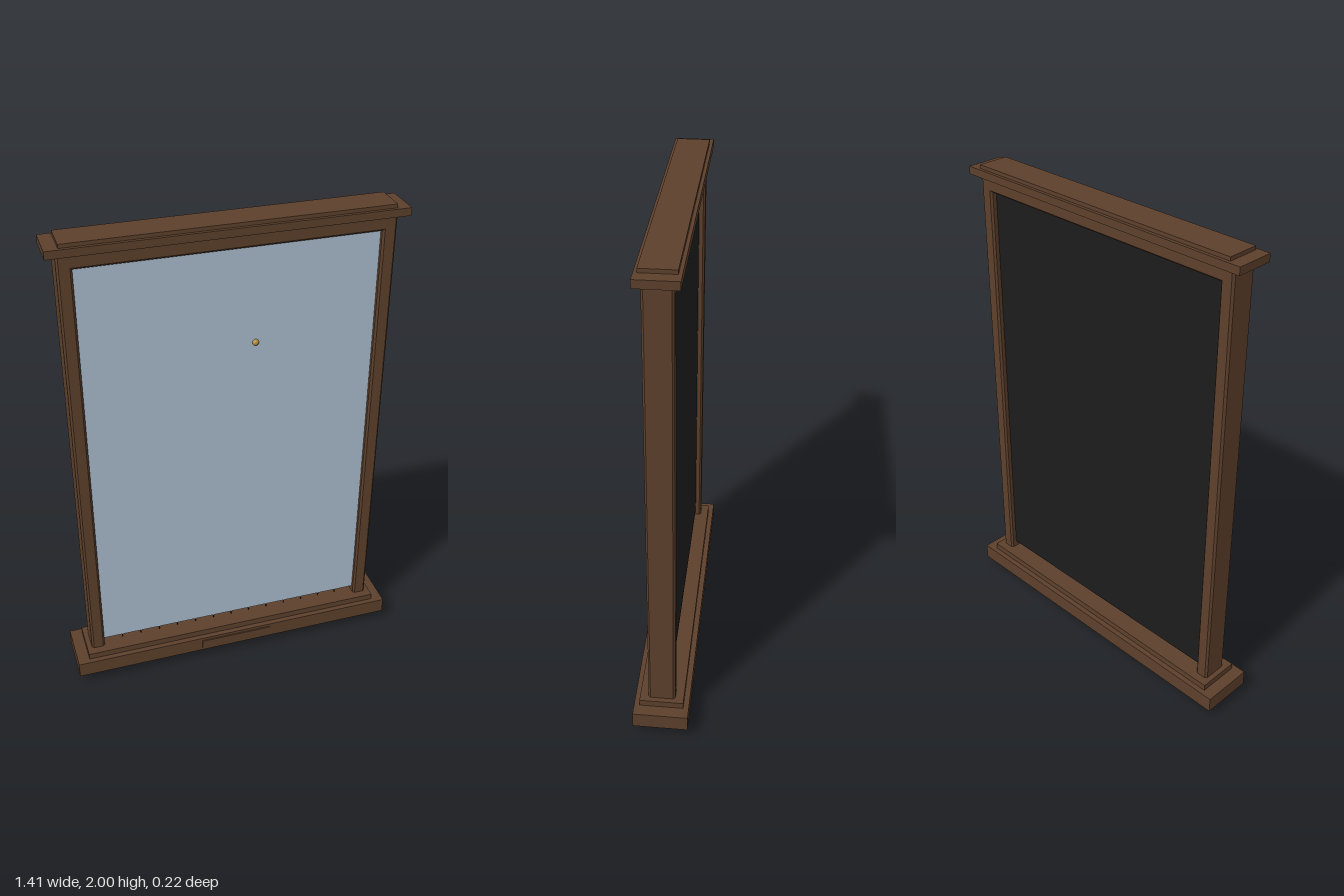
import * as THREE from 'three';

const material = (name, color) => {
  const m = new THREE.MeshStandardMaterial({ color });
  m.name = name;
  return m;
};

export function createModel() {
  const wood = material('darkWood', 0x5c3f2b);
  const glass = material('paleGlass', 0xaabbcc);
  const black = material('blackBacking', 0x1c1c1c);
  const brass = material('brass', 0xb08d3f);

  const model = new THREE.Group();
  model.name = 'framedPanel';
  const ZC = -0.003; // centre of the frame in depth

  const add = (name, geometry, mat, x, y, z) => {
    const mesh = new THREE.Mesh(geometry, mat);
    mesh.name = name;
    mesh.position.set(x, y, z);
    model.add(mesh);
    return mesh;
  };

  // Box given by half width, bottom, top and half depth
  const slab = (name, halfW, y0, y1, halfD) =>
    add(name, new THREE.BoxGeometry(halfW * 2, y1 - y0, halfD * 2), wood, 0, (y0 + y1) / 2, ZC);

  // Bar with chamfered long edges, extruded along its own z from 0
  const chamferedBar = (w, h, length, c) => {
    const a = w / 2, b = h / 2;
    const shape = new THREE.Shape([
      [a - c, -b], [a, -b + c], [a, b - c], [a - c, b],
      [-a + c, b], [-a, b - c], [-a, -b + c], [-a + c, -b],
    ].map(([x, y]) => new THREE.Vector2(x, y)));
    return new THREE.ExtrudeGeometry(shape, { depth: length, bevelEnabled: false });
  };

  // Stepped plinth and cornice
  slab('base', 0.706, 0.04, 0.107, 0.11);
  slab('baseStep', 0.656, 0.107, 0.134, 0.088);
  slab('cornice', 0.675, 1.954, 1.985, 0.078);
  slab('corniceTop', 0.624, 1.985, 2.0, 0.065);
  add('frontPlate', new THREE.BoxGeometry(0.314, 0.04, 0.006), wood, 0, 0.074, ZC + 0.112);

  // Side posts and top rail
  for (const side of [-1, 1]) {
    const post = add(side > 0 ? 'leftPost' : 'rightPost',
      chamferedBar(0.056, 0.108, 1.822, 0.008), wood, side * 0.607, 0.133, ZC);
    post.rotation.x = -Math.PI / 2;
  }
  const rail = add('topRail', chamferedBar(0.108, 0.06, 1.18, 0.008), wood, -0.59, 1.925, ZC);
  rail.rotation.y = Math.PI / 2;

  // Glass in front of a black backing
  const panelH = 1.895 - 0.16, panelY = (1.895 + 0.16) / 2;
  add('glassPanel', new THREE.BoxGeometry(1.165, panelH, 0.012), glass, 0, panelY, 0.024);
  add('backing', new THREE.BoxGeometry(1.165, panelH, 0.05), black, 0, panelY, -0.007);

  // Fine pins below the panel
  for (let i = -6; i <= 6; i++) {
    add('pin', new THREE.BoxGeometry(0.003, 0.017, 0.003), black, i * 0.0826, 0.152, 0.026);
  }

  // Small brass stud on the glass
  add('stud', new THREE.SphereGeometry(0.013, 20, 14), brass, 0.095, 1.5, 0.03);

  // Rounded bun feet
  const footProfile = [new THREE.Vector2(0, 0)];
  for (let i = 0; i <= 10; i++) {
    const t = -Math.PI / 2 + (Math.PI * i) / 10;
    footProfile.push(new THREE.Vector2(0.036 + 0.018 * Math.cos(t), 0.02 + 0.02 * Math.sin(t)));
  }
  footProfile.push(new THREE.Vector2(0, 0.04));
  for (const side of [-1, 1]) {
    add(side > 0 ? 'leftFoot' : 'rightFoot', new THREE.LatheGeometry(footProfile, 32), brass, side * 0.56, 0, ZC);
  }

  return model;
}
